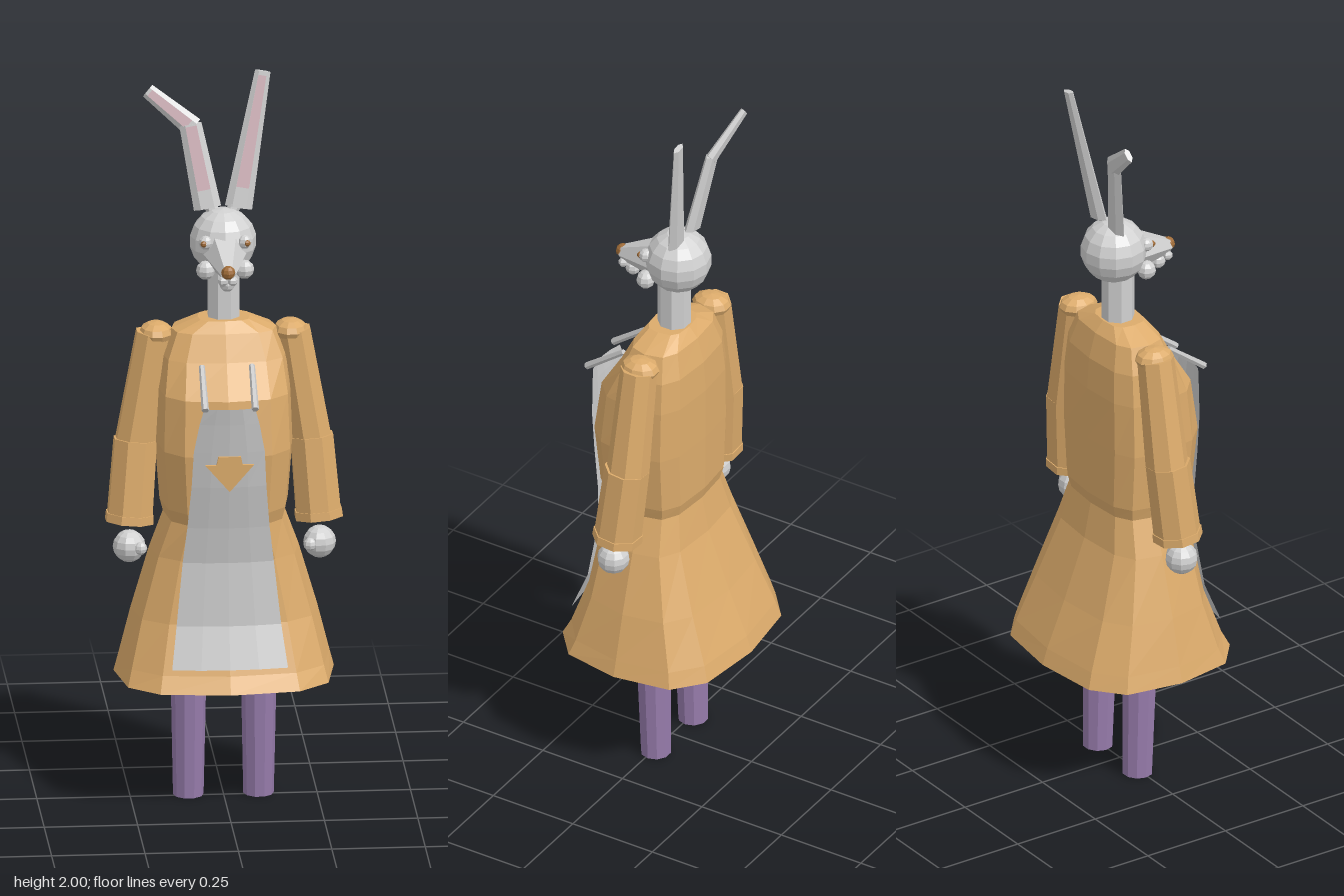
import * as THREE from 'three';

const mat = (name, color, extra = {}) => {
  const m = new THREE.MeshStandardMaterial({ color, flatShading: true, ...extra });
  m.name = name;
  return m;
};

export function createModel() {
  const model = new THREE.Group();
  const both = { side: THREE.DoubleSide };
  const coatMat = mat('tan cloth', 0xdcab6b, both);
  const furMat = mat('pale grey fur', 0xd0d0d0);
  const apronMat = mat('grey linen', 0xc6c6c6, both);
  const legMat = mat('purple stockings', 0x967bab);
  const pinkMat = mat('inner ear pink', 0xd6b7be);
  const noseMat = mat('brown nose', 0xa06c38);

  const add = (name, geo, material, pos = [0, 0, 0], parent = model) => {
    const m = new THREE.Mesh(geo, material);
    m.name = name;
    m.position.set(...pos);
    parent.add(m);
    return m;
  };
  const ball = (name, r, pos, material, w = 8, h = 6, scale = [1, 1, 1]) => {
    const m = add(name, new THREE.SphereGeometry(r, w, h), material, pos);
    m.scale.set(...scale);
    return m;
  };
  // Tapered rod running from a (radius ra) to b (radius rb)
  const limb = (name, a, b, ra, rb, material, sides = 8, flat = 1) => {
    const va = new THREE.Vector3(...a), dir = new THREE.Vector3(...b).sub(va);
    const len = dir.length();
    const geo = new THREE.CylinderGeometry(rb, ra, len, sides);
    geo.rotateY(Math.PI / sides).scale(1, 1, flat).translate(0, len / 2, 0);
    const m = add(name, geo, material, a);
    m.quaternion.setFromUnitVectors(new THREE.Vector3(0, 1, 0), dir.normalize());
    return m;
  };
  // Skin a grid of points, rows running bottom to top
  const skin = (rows, closed) => {
    const n = rows[0].length, pos = rows.flat(2), idx = [];
    for (let i = 0; i < rows.length - 1; i++) {
      for (let j = 0; j < (closed ? n : n - 1); j++) {
        const k = (j + 1) % n, a = i * n + j, b = i * n + k;
        idx.push(a, b, b + n, a, b + n, a + n);
      }
    }
    const g = new THREE.BufferGeometry();
    g.setAttribute('position', new THREE.Float32BufferAttribute(pos, 3));
    g.setIndex(idx);
    g.computeVertexNormals();
    return g;
  };

  // Coat: rounded-square rings [y, half width, front z, back z]
  const soft = v => Math.sign(v) * Math.abs(v) ** 0.66;
  const ring = ([y, w, f, b]) => Array.from({ length: 12 }, (_, i) => {
    const t = i * Math.PI / 6, c = soft(Math.cos(t));
    return [w * soft(Math.sin(t)), y, c * (Math.abs(c) < 1e-6 ? 0 : c > 0 ? f : -b)];
  });
  add('coatSkirt', skin([
    [0.355, 0.295, 0.25, -0.25], [0.4, 0.283, 0.225, -0.235], [0.53, 0.25, 0.178, -0.18],
    [0.7, 0.2, 0.155, -0.115], [0.8, 0.163, 0.162, -0.095],
  ].map(ring), true), coatMat);
  add('coatBody', skin([
    [0.8, 0.163, 0.162, -0.095], [0.835, 0.172, 0.172, -0.104], [1.0, 0.185, 0.188, -0.106],
    [1.15, 0.18, 0.165, -0.106], [1.24, 0.168, 0.105, -0.1], [1.31, 0.14, 0.07, -0.08],
    [1.34, 0.07, 0.05, -0.055], [1.34, 0.001, 0.001, -0.001],
  ].map(ring), true), coatMat);

  // Apron: bowed sheet, rows [y, half width, centre z]
  add('apron', skin([
    [0.42, 0.155, 0.232], [0.53, 0.14, 0.19], [0.7, 0.122, 0.167], [0.8, 0.11, 0.176],
    [0.92, 0.1, 0.194], [1.02, 0.095, 0.204], [1.1, 0.08, 0.212], [1.145, 0.068, 0.218],
  ].map(([y, w, z]) => [-1, -0.5, 0, 0.5, 1].map(u => [u * w, y, z - 0.012 * u * u])), false), apronMat);

  // Inverted triangular patch on the chest
  const patch = new THREE.Shape([[-0.03, 1.01], [-0.035, 0.987], [-0.065, 0.987], [0, 0.912],
    [0.065, 0.987], [0.035, 0.987], [0.03, 1.01]].map(p => new THREE.Vector2(...p)));
  add('chestPatch', new THREE.ExtrudeGeometry(patch, { depth: 0.008, bevelEnabled: false }),
    coatMat, [0, 0, 0.2]);

  for (const [s, side] of [[1, 'left'], [-1, 'right']]) {
    limb(side + 'ApronStrap', [s * 0.067, 1.148, 0.226], [s * 0.067, 1.235, 0.11], 0.01, 0.008, apronMat, 6);

    // Sleeve, shoulder and hand
    ball(side + 'Shoulder', 0.05, [s * 0.18, 1.295, -0.012], coatMat, 10, 6, [0.92, 0.6, 1.1]);
    limb(side + 'UpperSleeve', [s * 0.235, 0.99, -0.008], [s * 0.186, 1.295, -0.012], 0.058, 0.05, coatMat);
    limb(side + 'LowerSleeve', [s * 0.252, 0.795, 0.012], [s * 0.236, 1.0, -0.006], 0.064, 0.061, coatMat);
    limb(side + 'Cuff', [s * 0.254, 0.775, 0.014], [s * 0.252, 0.798, 0.012], 0.068, 0.067, coatMat);
    ball(side + 'Hand', 0.044, [s * 0.255, 0.71, 0.025], furMat, 10, 8);
    ball(side + 'Thumb', 0.018, [s * 0.227, 0.712, 0.058], furMat);

    // Stockinged leg
    limb(side + 'LowerLeg', [s * 0.094, 0, -0.008], [s * 0.094, 0.345, 0], 0.041, 0.048, legMat, 10);
    limb(side + 'UpperLeg', [s * 0.094, 0.34, 0], [s * 0.09, 0.65, -0.005], 0.046, 0.05, legMat, 10);

    // Face details
    ball(side + 'Cheek', 0.026, [s * 0.052, 1.485, 0.05], furMat);
    ball(side + 'EyeSocket', 0.019, [s * 0.052, 1.562, 0.05], furMat);
    ball(side + 'Eye', 0.009, [s * 0.058, 1.562, 0.064], noseMat, 6, 5);
    ball(side + 'Lip', 0.014, [s * 0.013, 1.483, 0.145], furMat, 6, 5);
  }

  // Neck and head
  limb('neck', [0, 1.33, -0.007], [0, 1.49, -0.007], 0.045, 0.045, furMat);
  ball('head', 0.09, [0, 1.545, -0.02], furMat, 12, 9);
  limb('snout', [0, 1.53, 0.03], [0, 1.505, 0.155], 0.062, 0.021, furMat, 6);
  ball('nose', 0.019, [0, 1.51, 0.155], noseMat, 8, 6);
  ball('chin', 0.021, [0, 1.468, 0.122], furMat, 8, 6);

  // Ear segment: flattened taper with a thin pink panel on its front
  const ear = (name, a, b, ra, rb, from, to) => {
    const flat = 0.42;
    const m = limb(name, a, b, ra, rb, furMat, 6, flat);
    const len = new THREE.Vector3(...a).distanceTo(new THREE.Vector3(...b));
    const w = t => 0.5 * (ra + (rb - ra) * t);
    const shape = new THREE.Shape([[-w(from), from], [w(from), from], [w(to), to], [-w(to), to]]
      .map(([x, t]) => new THREE.Vector2(x, t * len)));
    const p = add(name + 'Inner', new THREE.ShapeGeometry(shape), pinkMat, [0, 0, 0.866 * flat * ra + 0.002], m);
    p.rotation.x = -Math.atan(0.866 * flat * (ra - rb) / len);
  };
  ear('leftEar', [0.043, 1.63, -0.04], [0.112, 1.995, -0.09], 0.037, 0.021, 0.15, 0.97);
  ear('rightEarLower', [-0.04, 1.63, -0.04], [-0.083, 1.855, -0.075], 0.037, 0.03, 0.22, 0.98);
  ear('rightEarUpper', [-0.075, 1.845, -0.075], [-0.195, 1.942, -0.105], 0.029, 0.02, 0.1, 0.95);
  for (const s of [1, -1]) {
    limb(s > 0 ? 'leftEarRoot' : 'rightEarRoot', [s * 0.02, 1.61, -0.03], [s * 0.038, 1.65, -0.042], 0.014, 0.02, furMat, 6, 0.6);
  }
  return model;
}
